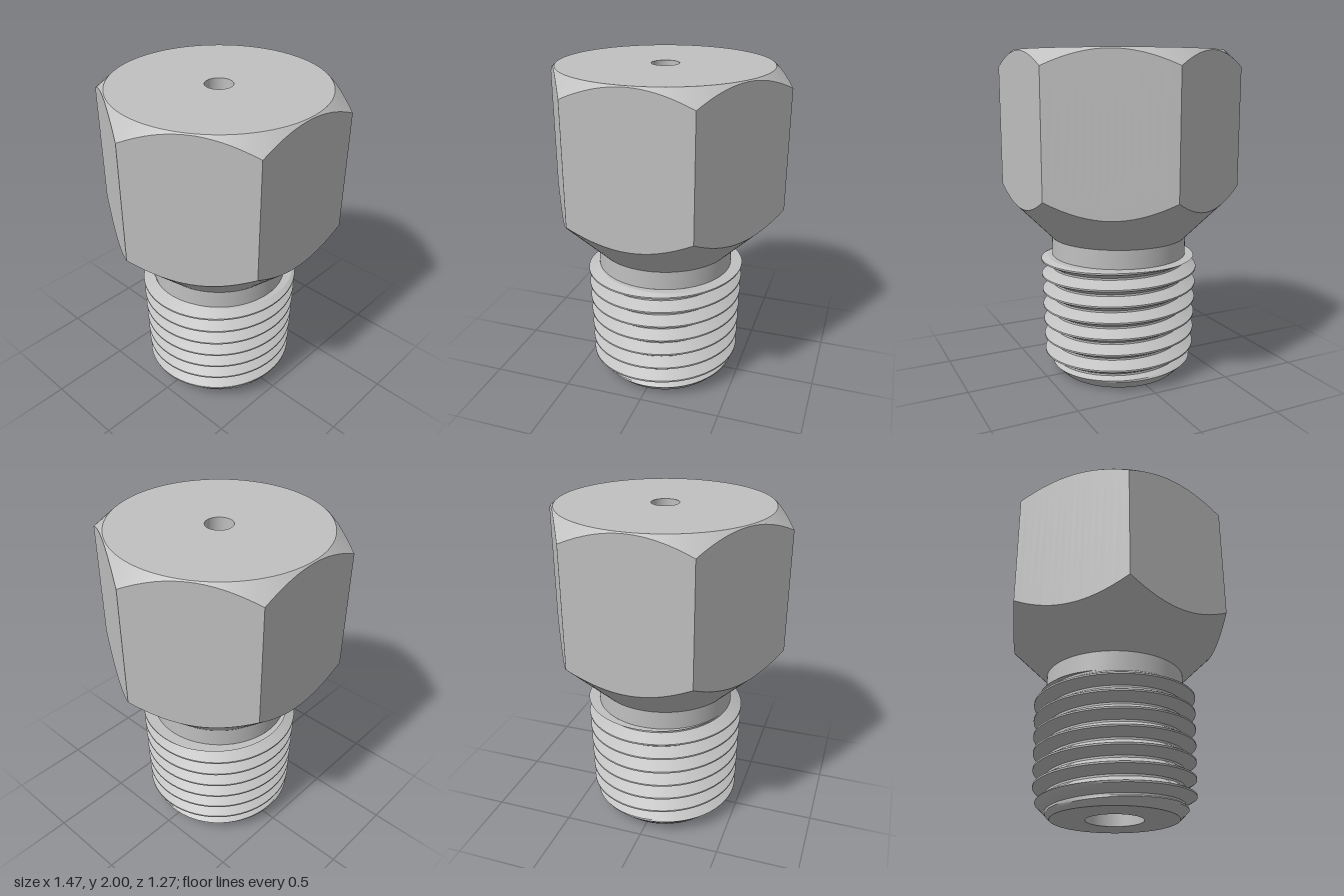
import * as THREE from 'three';
import { toCreasedNormals } from 'three/addons/utils/BufferGeometryUtils.js';

const TAU = Math.PI * 2;
const clamp = THREE.MathUtils.clamp;

// Sweeps a section around the y axis; sectionAt(angle) returns a list of [radius, y].
function sweep(sectionAt, segments) {
  const positions = [];
  const index = [];
  let rows = 0;
  for (let i = 0; i <= segments; i++) {
    const angle = (i / segments) * TAU;
    const section = sectionAt(angle);
    rows = section.length;
    for (const [r, y] of section) {
      positions.push(r * Math.cos(angle), y, -r * Math.sin(angle));
    }
  }
  for (let i = 0; i < segments; i++) {
    for (let j = 0; j < rows - 1; j++) {
      const a = i * rows + j;
      const b = a + rows;
      index.push(a, b, b + 1, a, b + 1, a + 1);
    }
  }
  const geometry = new THREE.BufferGeometry();
  geometry.setAttribute('position', new THREE.Float32BufferAttribute(positions, 3));
  geometry.setIndex(index);
  return toCreasedNormals(geometry, 0.5);
}

const HEX_APOTHEM = 0.637;
const NECK_RADIUS = 0.42;
const THREAD_TOP = 0.755;
const PITCH = 0.1;
const BORE_RADIUS = 0.17;
const OUTLET_RADIUS = 0.082;

// Neck, cone and hexagon with conical chamfers that cut curved edges into the flats
function hexSection(angle) {
  const third = TAU / 6;
  const r = HEX_APOTHEM / Math.cos((angle % third) - third / 2);
  return [
    [NECK_RADIUS, THREAD_TOP],
    [NECK_RADIUS, 0.87],
    [r, 0.45 + r],
    [r, 2 - (r - 0.63) * 0.9],
    [0.63, 2],
    [OUTLET_RADIUS, 2],
  ];
}

// Right-hand tapered helix, cut by the lower chamfer and the flat upper shoulder
const TOOTH_STEPS = [0.05, 0.15, 0.25, 0.35, 0.44, 0.56, 0.65, 0.75, 0.85, 0.95];
function threadSection(angle) {
  const section = [];
  const start = 0.055 + (PITCH * angle) / TAU;
  for (let turn = -2; turn <= 8; turn++) {
    for (const t of TOOTH_STEPS) {
      const y = clamp(start + PITCH * (turn + t), 0, THREAD_TOP);
      const phase = (y - start) / PITCH;
      const offset = Math.abs(phase - Math.round(phase));
      const height = clamp((0.44 - offset) / 0.39, 0, 1);
      const root = 0.405 + 0.02 * y;
      const crest = 0.472 + 0.026 * y;
      section.push([Math.min(root + (crest - root) * height, 0.375 + y), y]);
    }
  }
  section.push([NECK_RADIUS, THREAD_TOP]);
  return section;
}

// Stepped bore with a drill-point taper, ending in the lower face
const BORE_SECTION = [
  [OUTLET_RADIUS, 2],
  [OUTLET_RADIUS, 1.7],
  [BORE_RADIUS, 1.6],
  [BORE_RADIUS, 0],
  [0.375, 0],
];

export function createModel() {
  const metal = new THREE.MeshStandardMaterial({ color: 0xc0c0c0 });
  metal.name = 'grey metal';

  const group = new THREE.Group();
  group.name = 'hexNozzleFitting';
  const add = (name, geometry) => {
    const mesh = new THREE.Mesh(geometry, metal);
    mesh.name = name;
    group.add(mesh);
  };

  add('hexHead', sweep(hexSection, 96));
  add('thread', sweep(threadSection, 72));
  add('boreAndLowerFace', sweep(() => BORE_SECTION, 72));
  return group;
}
